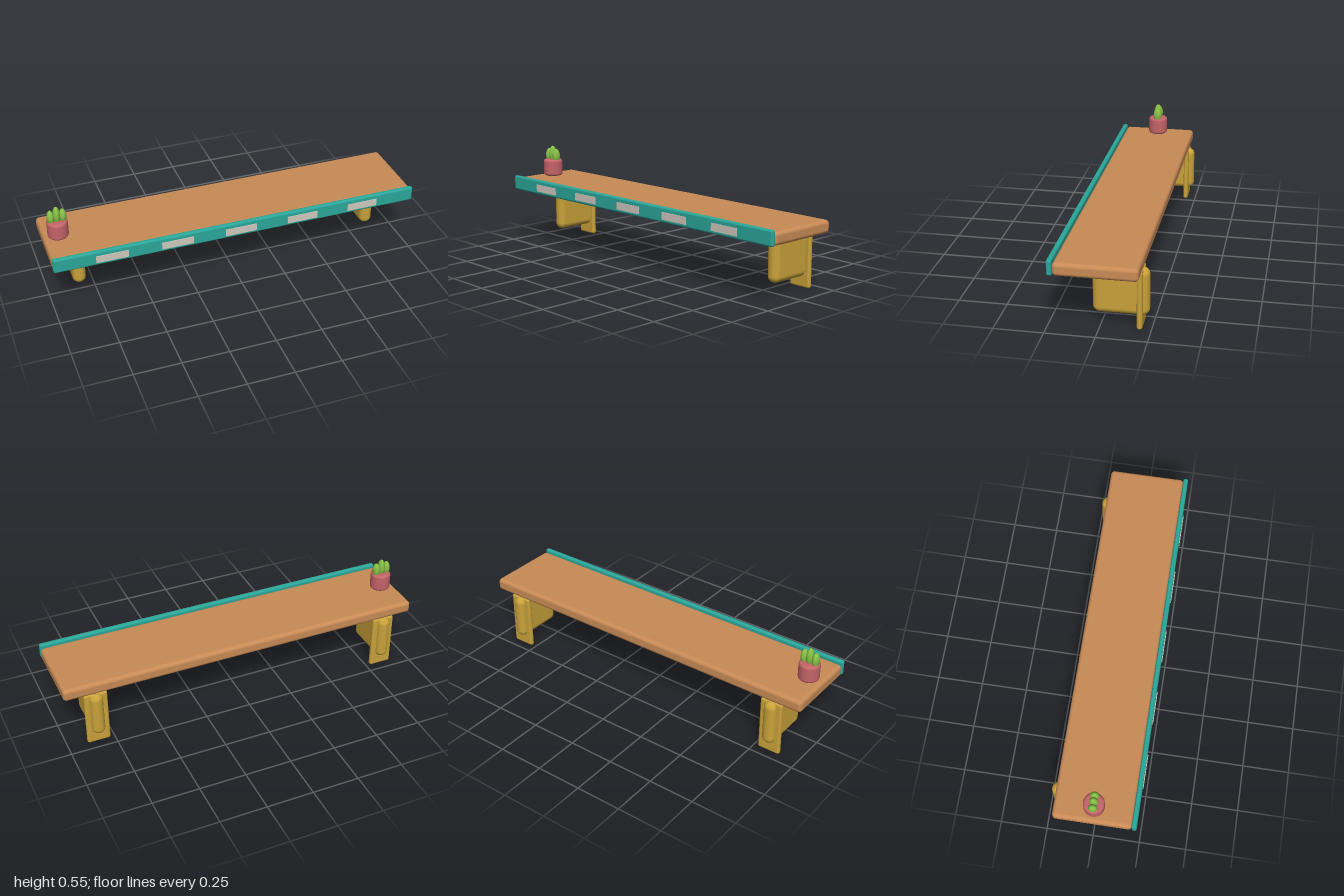
import * as THREE from 'three';
import { RoundedBoxGeometry } from 'three/addons/geometries/RoundedBoxGeometry.js';

const material = (name, color) => {
  const m = new THREE.MeshStandardMaterial({ color });
  m.name = name;
  return m;
};

export function createModel() {
  const wood = material('wood', 0xc98b56);
  const teal = material('teal', 0x2aa79a);
  const mustard = material('mustard', 0xc9a23a);
  const terracotta = material('terracotta', 0xc46468);
  const green = material('cactus green', 0x86bf45);
  const labelGrey = material('label grey', 0xd0c8be);

  const root = new THREE.Group();
  root.name = 'wallShelf';

  const add = (parent, name, geometry, mat, x, y, z) => {
    const mesh = new THREE.Mesh(geometry, mat);
    mesh.name = name;
    mesh.position.set(x, y, z);
    parent.add(mesh);
    return mesh;
  };
  // Rounded box from its lower and upper limits in y and z
  const slab = (parent, name, mat, x, width, [y0, y1], [z0, z1], radius) =>
    add(parent, name, new RoundedBoxGeometry(width, y1 - y0, z1 - z0, 5, radius), mat,
      x, (y0 + y1) / 2, (z0 + z1) / 2);

  // Shelf board with a raised front lip
  slab(root, 'board', wood, 0, 2, [0.302, 0.37], [-0.206, 0.205], 0.02);
  slab(root, 'frontLip', teal, 0, 2, [0.302, 0.384], [0.204, 0.231], 0.011);

  // Label plates along the lip
  for (let i = -2; i <= 2; i++) {
    add(root, 'label', new THREE.BoxGeometry(0.171, 0.04, 0.008), labelGrey, i * 0.3475, 0.339, 0.231);
  }

  // Brackets: a wall plate and a thick rounded brace
  for (const side of [-1, 1]) {
    const bracket = new THREE.Group();
    bracket.name = side > 0 ? 'leftBracket' : 'rightBracket';
    bracket.position.x = side * 0.834;
    slab(bracket, 'wallPlate', mustard, 0, 0.125, [0, 0.306], [-0.206, -0.179], 0.012);
    slab(bracket, 'brace', mustard, 0, 0.071, [0.058, 0.306], [-0.235, 0.043], 0.034);
    root.add(bracket);
  }

  // Potted cactus
  const plant = new THREE.Group();
  plant.name = 'pottedCactus';
  plant.position.set(-0.92, 0.369, 0.002);
  root.add(plant);

  const R = 0.055, H = 0.098, B = 0.015;
  const profile = [new THREE.Vector2(0, 0)];
  for (const [cy, start] of [[B, -Math.PI / 2], [H - B, 0]]) {
    for (let i = 0; i <= 5; i++) {
      const a = start + (i / 5) * Math.PI / 2;
      profile.push(new THREE.Vector2(R - B + B * Math.cos(a), cy + B * Math.sin(a)));
    }
  }
  profile.push(new THREE.Vector2(0, H));
  add(plant, 'pot', new THREE.LatheGeometry(profile, 40), terracotta, 0, 0, 0);

  // Three upright cactus lobes, the middle one tallest
  for (const i of [-1, 0, 1]) {
    const lobe = add(plant, 'cactusLobe', new THREE.SphereGeometry(1, 24, 16), green,
      i * 0.032, i ? 0.118 : 0.127, 0);
    lobe.scale.set(0.019, i ? 0.041 : 0.049, 0.024);
  }

  return root;
}
